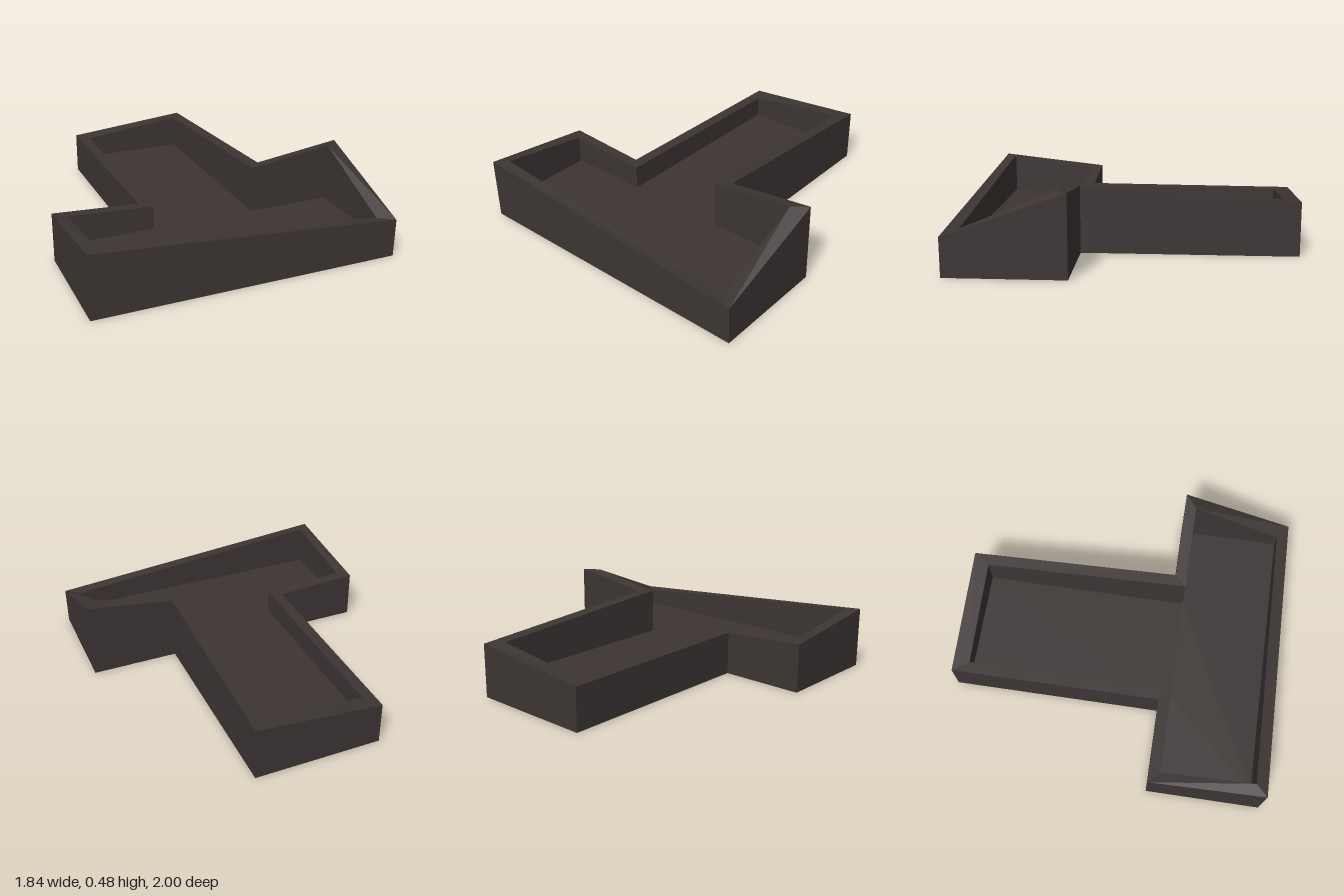
import * as THREE from 'three';

const FLOOR = 0.125;

// Corners of the T: outer x, outer z, inner x, inner z, rim height
const CORNERS = [
  [-0.40, -1.00, -0.33, -0.90, 0.26],
  [0.38, -1.00, 0.31, -0.90, 0.33],
  [0.38, 0.30, 0.31, 0.37, 0.41],
  [0.92, 0.30, 0.83, 0.37, 0.48],
  [0.92, 1.00, 0.83, 0.93, 0.23],
  [-0.92, 1.00, -0.85, 0.93, 0.38],
  [-0.92, 0.30, -0.85, 0.37, 0.30],
  [-0.40, 0.30, -0.33, 0.37, 0.27],
];

// Closed band of flat faces joining two rings of points
function band(a, b) {
  const points = [];
  a.forEach((p, i) => {
    const j = (i + 1) % a.length;
    points.push(p, b[i], a[j], a[j], b[i], b[j]);
  });
  const geometry = new THREE.BufferGeometry().setFromPoints(points);
  geometry.computeVertexNormals();
  return geometry;
}

export function createModel() {
  const group = new THREE.Group();
  group.name = 'tShapedTray';

  const material = new THREE.MeshStandardMaterial({ color: 0x3c3534, side: THREE.DoubleSide });
  material.name = 'dark brown';

  const add = (name, geometry) => {
    const mesh = new THREE.Mesh(geometry, material);
    mesh.name = name;
    group.add(mesh);
    return mesh;
  };

  const base = CORNERS.map(([x, z]) => new THREE.Vector3(x, 0, z));
  const outerRim = CORNERS.map(([x, z, , , h]) => new THREE.Vector3(x, h, z));
  const innerRim = CORNERS.map(([, , x, z, h]) => new THREE.Vector3(x, h, z));
  const innerFoot = CORNERS.map(([, , x, z]) => new THREE.Vector3(x, FLOOR, z));

  // Walls, open underneath, with a sloping rim
  add('outerWall', band(base, outerRim));
  add('rim', band(outerRim, innerRim));
  add('innerWall', band(innerRim, innerFoot));

  // Raised floor inside the walls
  const outline = new THREE.Shape(innerFoot.map((p) => new THREE.Vector2(p.x, -p.z)));
  const floor = new THREE.ShapeGeometry(outline).rotateX(-Math.PI / 2);
  add('floor', floor).position.y = FLOOR;

  return group;
}
